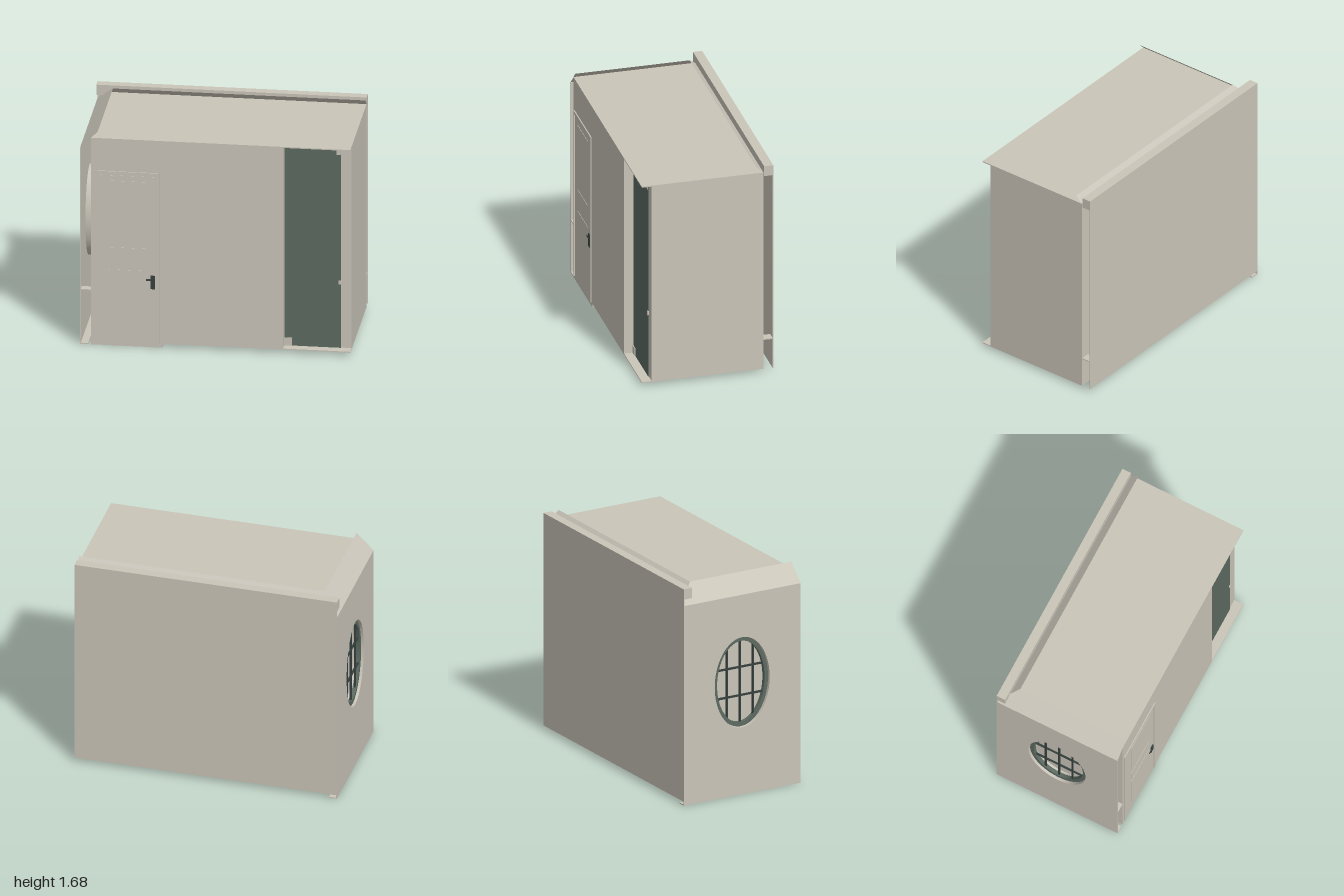
import * as THREE from 'three';

export function createModel() {
  const root = new THREE.Group();
  const mat = (name, color) => {
    const m = new THREE.MeshStandardMaterial({ color, side: THREE.DoubleSide });
    m.name = name;
    return m;
  };
  const plaster = mat('warm plaster', 0xcac5b9);
  const green = mat('dark green glass', 0x5c6a61);
  const iron = mat('dark iron', 0x36413e);

  const add = (name, geo, m = plaster) => {
    const mesh = new THREE.Mesh(geo, m);
    mesh.name = name;
    root.add(mesh);
    return mesh;
  };
  // Box given by its minimum and maximum on each axis
  const box = (name, x0, x1, y0, y1, z0, z1, m) => {
    const g = new THREE.BoxGeometry(x1 - x0, y1 - y0, z1 - z0);
    g.translate((x0 + x1) / 2, (y0 + y1) / 2, (z0 + z1) / 2);
    return add(name, g, m);
  };
  // Flat four-cornered strip
  const strip = (name, a, b, c, d) => {
    const g = new THREE.BufferGeometry();
    g.setAttribute('position', new THREE.Float32BufferAttribute([a, b, c, a, c, d].flat(), 3));
    g.computeVertexNormals();
    return add(name, g);
  };
  // Outline in (z, y) extruded towards -x, ending at outerX
  const sidePanel = (name, shape, depth, outerX, m) => {
    const g = new THREE.ExtrudeGeometry(shape, { depth, bevelEnabled: false, curveSegments: 40 });
    g.rotateY(-Math.PI / 2);
    g.translate(outerX + depth, 0, 0);
    return add(name, g, m);
  };
  const ellipse = (Type, rz, ry) => {
    const p = new Type();
    p.absellipse(0, 0.87, rz, ry, 0, Math.PI * 2, false, 0);
    return p;
  };

  // Room body with the recessed bay at the front corner
  const plan = new THREE.Shape([
    [-0.92, -0.5], [0.5, -0.5], [0.5, -0.425], [1, -0.425], [1, 0.425], [-0.92, 0.425],
  ].map(([x, y]) => new THREE.Vector2(x, y)));
  const body = new THREE.ExtrudeGeometry(plan, { depth: 1.6, bevelEnabled: false });
  body.rotateX(-Math.PI / 2);
  body.translate(0, 0.03, 0);
  add('roomBody', body);
  box('bayCeiling', 0.5, 1, 1.622, 1.63, 0.425, 0.5);
  box('bayFloor', 0.5, 1, 0.03, 0.038, 0.425, 0.5);

  // Dark bay panel with a skirting end and a corner catch
  box('bayPanel', 0.502, 0.92, 0.038, 1.622, 0.425, 0.43, green);
  box('baySkirting', 0.5, 0.56, 0.03, 0.1, 0.425, 0.436);
  box('bayCornerBlock', 0.89, 0.92, 1.56, 1.622, 0.425, 0.434);
  box('bayHinge', 0.905, 0.925, 0.54, 0.57, 0.425, 0.436);

  // Outer back wall and the rail on its top
  box('outerBackWall', -1, 1, 0.03, 1.63, -0.5, -0.494);
  box('backRail', -1, 1, 1.6, 1.68, -0.5, -0.43);
  box('backGapLedge', 0.93, 1, 0.265, 0.273, -0.494, -0.425);

  // Outer left wall with an oval opening
  const wall = new THREE.Shape([
    [-0.5, 0], [0.5, 0], [0.5, 1.55], [-0.5, 1.55],
  ].map(([x, y]) => new THREE.Vector2(x, y)));
  wall.holes.push(ellipse(THREE.Path, 0.235, 0.35));
  sidePanel('outerLeftWall', wall, 0.005, -1);
  strip('leftWallSlope', [-1, 1.55, -0.5], [-1, 1.55, 0.5], [-0.92, 1.63, 0.5], [-0.92, 1.63, -0.5]);
  box('leftWallBase', -1, -0.94, 0, 0.008, -0.5, 0.5);
  box('leftGapLedge', -0.995, -0.92, 0.425, 0.433, 0.44, 0.5);

  // Slanted mouldings, mitred where they meet
  strip('backCornice', [-0.92, 1.63, -0.425], [1, 1.63, -0.425], [1, 1.68, -0.37], [-0.87, 1.68, -0.37]);
  strip('leftCornice', [-0.92, 1.63, 0.5], [-0.92, 1.63, -0.425], [-0.87, 1.68, -0.37], [-0.87, 1.68, 0.5]);

  // Oval window: reveal, ring and bars
  const reveal = new THREE.CylinderGeometry(1, 1, 0.075, 48, 1, true);
  reveal.rotateZ(Math.PI / 2);
  reveal.scale(1, 0.35, 0.235);
  reveal.translate(-0.9595, 0.87, 0);
  add('windowReveal', reveal);
  const ring = ellipse(THREE.Shape, 0.233, 0.347);
  ring.holes.push(ellipse(THREE.Path, 0.203, 0.315));
  sidePanel('windowRing', ring, 0.03, -0.98, green);
  for (const z of [-0.11, 0, 0.11]) {
    const h = 0.325 * Math.sqrt(1 - (z / 0.215) ** 2);
    box('windowUpright', -0.972, -0.96, 0.87 - h, 0.87 + h, z - 0.007, z + 0.007, iron);
  }
  for (const y of [-0.11, 0.11]) {
    const w = 0.215 * Math.sqrt(1 - (y / 0.325) ** 2);
    box('windowCrossbar', -0.972, -0.96, 0.863 + y, 0.877 + y, -w, w, iron);
  }

  // Door: frame, leaf, thin panels and sill
  box('doorFrameLeft', -0.43, -0.41, 0.03, 1.375, 0.49, 0.508);
  box('doorFrameRight', -0.895, -0.875, 0.03, 1.375, 0.49, 0.508);
  box('doorFrameTop', -0.875, -0.43, 1.348, 1.375, 0.49, 0.508);
  box('doorLeaf', -0.87, -0.435, 0.035, 1.342, 0.49, 0.502);
  for (const [y0, y1] of [[0.17, 0.6], [0.66, 0.775], [0.855, 1.3]]) {
    box('doorPanel', -0.79, -0.5, y0, y1, 0.498, 0.505);
  }
  box('doorSill', -0.92, -0.39, 0, 0.03, 0.44, 0.5);

  // Handle plate and lever
  box('handlePlate', -0.48, -0.445, 0.46, 0.565, 0.5, 0.507, iron);
  box('handleLever', -0.51, -0.455, 0.527, 0.539, 0.507, 0.513, iron);
  return root;
}
